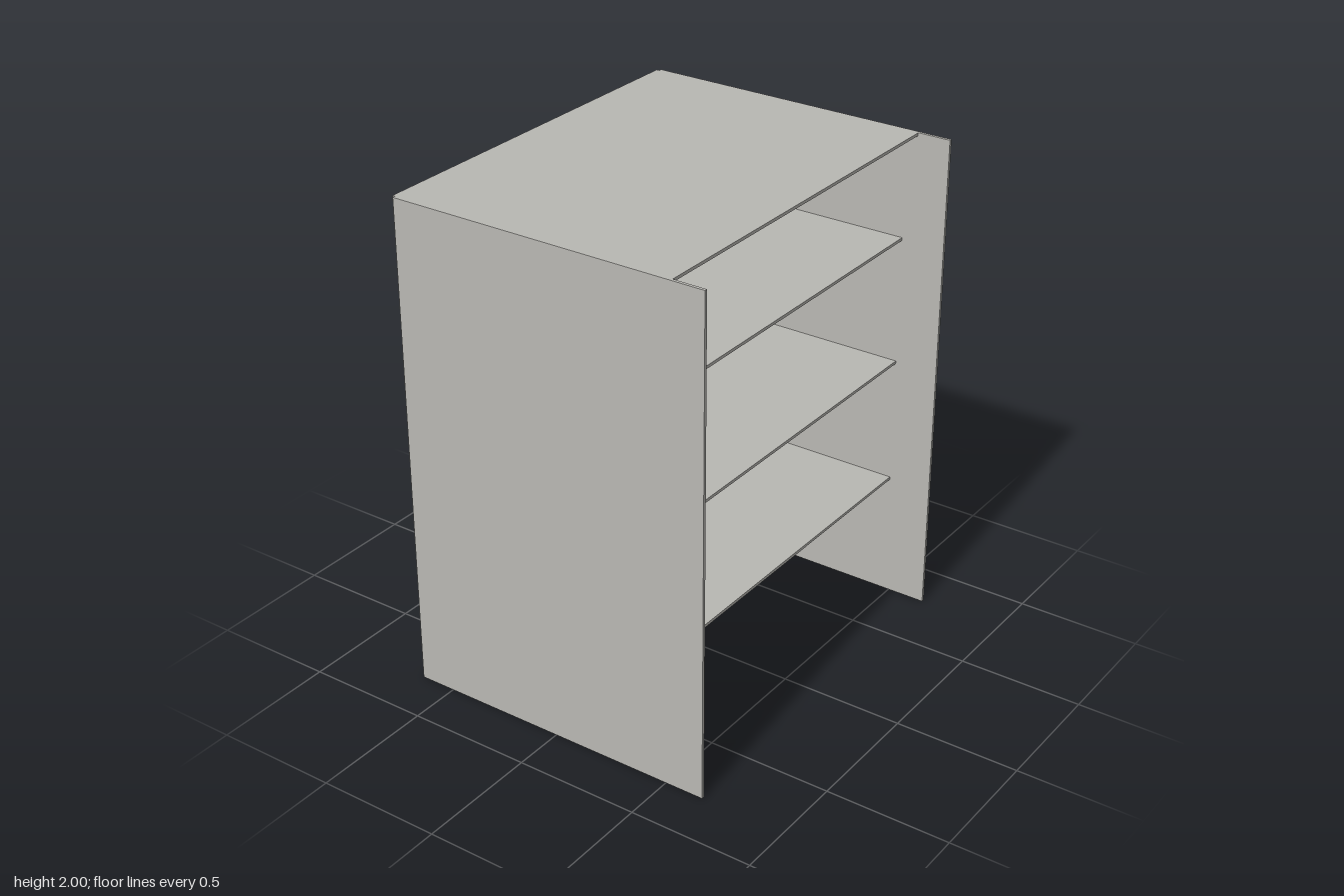
import * as THREE from 'three';

export function createModel() {
  const group = new THREE.Group();
  const grey = new THREE.MeshStandardMaterial({ color: 0xbab9b4 });
  grey.name = 'warm grey';

  const t = 0.012; // sheet thickness
  const height = 2;
  const halfWidth = 0.793;
  const inner = halfWidth - t; // inside face of the side panels
  const backZ = -0.66;
  const sideBackZ = backZ + t;

  function add(name, geometry, x, y, z) {
    const mesh = new THREE.Mesh(geometry, grey);
    mesh.name = name;
    mesh.position.set(x, y, z);
    group.add(mesh);
  }

  // Horizontal sheet between the sides, from z0 to z1, with its top at y
  function addSheet(name, y, z0, z1) {
    add(name, new THREE.BoxGeometry(inner * 2, t, z1 - z0), 0, y - t / 2, (z0 + z1) / 2);
  }

  // Side panels, reaching further forward than the shelves
  const sideDepth = 0.658 - sideBackZ;
  for (const [name, s] of [['leftSide', 1], ['rightSide', -1]]) {
    add(name, new THREE.BoxGeometry(t, height, sideDepth),
      s * (halfWidth - t / 2), height / 2, sideBackZ + sideDepth / 2);
  }

  // Back panel with two round cable holes
  const panel = new THREE.Shape();
  panel.moveTo(-inner, 0);
  panel.lineTo(inner, 0);
  panel.lineTo(inner, height - t);
  panel.lineTo(-inner, height - t);
  panel.closePath();
  for (const x of [-0.434, 0.434]) {
    const hole = new THREE.Path();
    hole.absarc(x, 1, 0.054, 0, Math.PI * 2, true);
    panel.holes.push(hole);
  }
  add('backPanel', new THREE.ExtrudeGeometry(panel,
    { depth: t, bevelEnabled: false, curveSegments: 24 }), 0, 0, backZ);

  // Top sheet covers the back panel's upper edge
  addSheet('top', height, backZ, 0.525);

  // Three shelves, set slightly behind the top's front edge
  [0.525, 1.045, 1.568].forEach((y, i) => addSheet('shelf' + (i + 1), y, sideBackZ, 0.48));

  return group;
}
